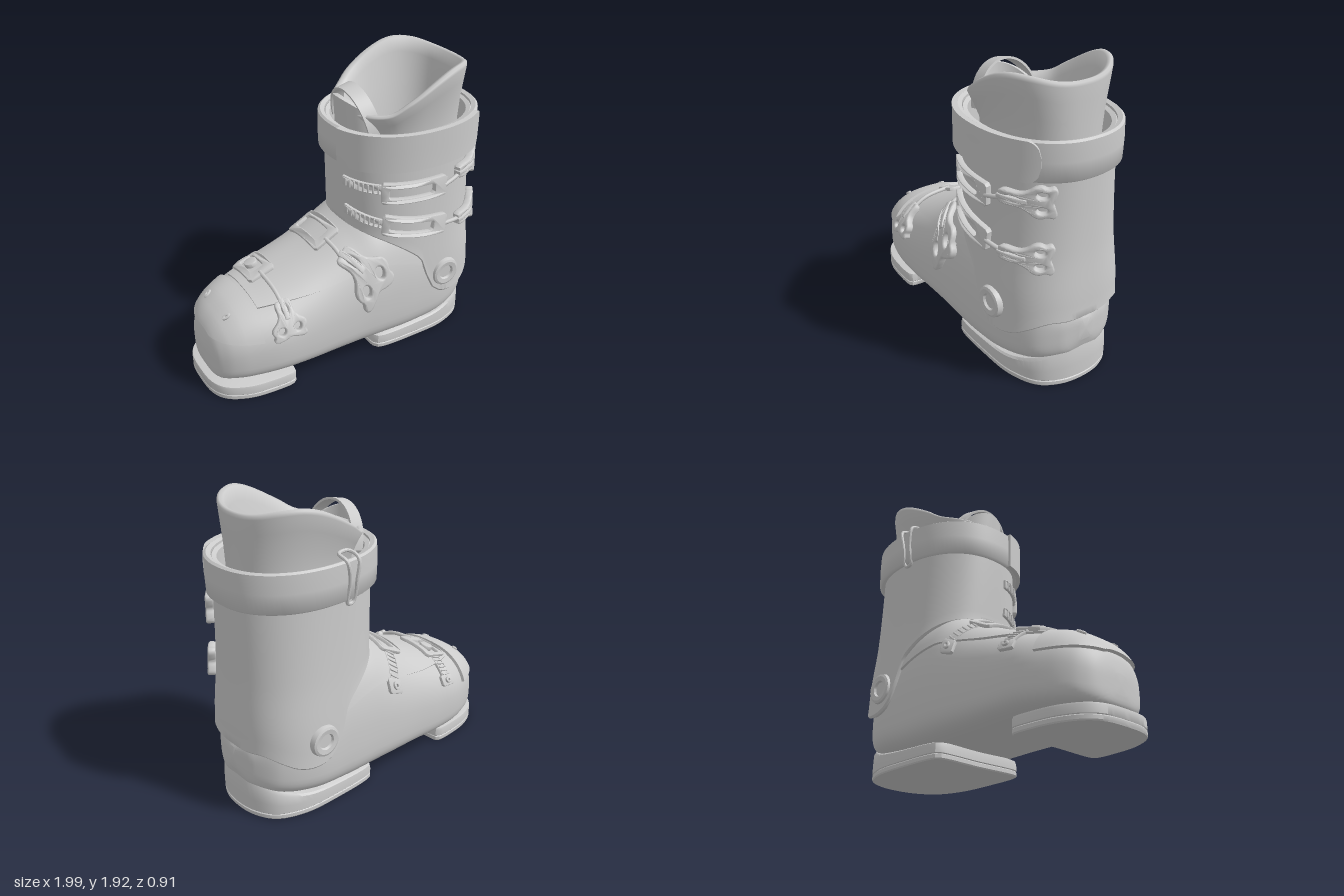
import * as THREE from 'three';
import { toCreasedNormals } from 'three/addons/utils/BufferGeometryUtils.js';

const V = (x, y, z) => new THREE.Vector3(x, y, z);
const pw = (c, p) => Math.sign(c) * Math.abs(c) ** p;
const lerp = THREE.MathUtils.lerp;
const mat = new THREE.MeshStandardMaterial({ color: 0xcccccc });

// Smooth interpolation of rows [key, value, value...]
function tab(rows, x) {
  const n = rows.length - 1;
  x = Math.min(Math.max(x, rows[0][0]), rows[n][0]);
  let i = 0;
  while (i < n - 1 && x > rows[i + 1][0]) i++;
  const a = rows[i], b = rows[i + 1], h = b[0] - a[0], t = (x - a[0]) / h;
  const slope = (j, k) => {
    const p = rows[Math.max(j - 1, 0)], q = rows[Math.min(j + 1, n)];
    return (q[k] - p[k]) / (q[0] - p[0]);
  };
  return a.slice(1).map((v, m) => {
    const k = m + 1, t2 = t * t, t3 = t2 * t;
    return (2 * t3 - 3 * t2 + 1) * v + (t3 - 2 * t2 + t) * h * slope(i, k)
      + (3 * t2 - 2 * t3) * b[k] + (t3 - t2) * h * slope(i + 1, k);
  });
}

// Skin over closed rings of equal length
function loft(rings, capStart = false, capEnd = false) {
  const n = rings[0].length, pos = rings.flat().flatMap(p => [p.x, p.y, p.z]), idx = [];
  for (let i = 0; i < rings.length - 1; i++) for (let j = 0; j < n; j++) {
    const k = (j + 1) % n, a = i * n + j, b = i * n + k;
    idx.push(a, b, a + n, b, b + n, a + n);
  }
  const cap = (r, flip) => {
    const c = rings[r].reduce((s, p) => s.add(p), V(0, 0, 0)).divideScalar(n), ci = pos.length / 3;
    pos.push(c.x, c.y, c.z);
    for (let j = 0; j < n; j++) {
      const a = r * n + j, b = r * n + (j + 1) % n;
      idx.push(ci, flip ? b : a, flip ? a : b);
    }
  };
  if (capStart) cap(0, true);
  if (capEnd) cap(rings.length - 1, false);
  const g = new THREE.BufferGeometry();
  g.setAttribute('position', new THREE.Float32BufferAttribute(pos, 3));
  g.setIndex(idx);
  return g;
}
const around = (n, f) => Array.from({ length: n }, (_, i) => f(i / n * Math.PI * 2));

// Lower shell: sections along x as [x, bottom, widest height, top, half width, sideways shift]
const SHELL = [[-.97, .18, .24, .3, .05, 0], [-.965, .14, .24, .335, .11, 0], [-.95, .115, .245, .4, .175, 0], [-.92, .1, .25, .455, .225, -.005],
  [-.87, .1, .27, .505, .275, -.01], [-.78, .1, .28, .56, .325, -.015], [-.6, .1, .3, .615, .382, -.022], [-.4, .1, .3, .685, .398, -.02],
  [-.2, .1, .32, .77, .4, -.015], [0, .1, .34, .88, .405, -.012], [.15, .1, .35, .97, .41, -.006], [.4, .1, .35, 1, .41, 0],
  [.65, .12, .35, .88, .39, 0], [.85, .16, .36, .67, .3, 0], [.95, .22, .38, .5, .16, 0], [.978, .3, .39, .45, .05, 0]];
function shell(x, a) {
  const [yb, yc, yt, w, z] = tab(SHELL, x), s = Math.sin(a);
  const up = s >= 0, p = up ? .8 : .5;
  return V(x, yc + (up ? yt - yc : yc - yb) * pw(s, p), z + w * pw(Math.cos(a), p));
}
const shellSurf = (u, v) => shell(u, v * 2.4);

// Cuff: plan outline by height as [y, front, rear, half width, roundness]
const CUFF = [[.35, .06, .975, .43, 2.6], [.6, .05, .97, .42, 2.6], [.9, .03, .955, .402, 2.4], [1.35, .005, .952, .392, 2.25], [1.6, 0, .955, .395, 2.2]];
function cuff(t, y, d = 0) {
  const [x0, x1, w, n] = tab(CUFF, y);
  return V((x0 + x1) / 2 - ((x1 - x0) / 2 + d) * pw(Math.cos(t), 2 / n), y, (w + d) * pw(Math.sin(t), 2 / n));
}
const cuffSurf = (u, v) => cuff(u * 2, v);
const HEM = [[.03, .92], [.2, .84], [.36, .73], [.43, .65], [.47, .51], [.51, .43], [.58, .375], [.68, .36], [.78, .38], [.86, .425], [.93, .465], [.97, .455]];

// Bend geometry given as (u, v, height) onto a surface
function drape(geo, surf) {
  const p = geo.attributes.position, e = .004;
  for (let i = 0; i < p.count; i++) {
    const u = p.getX(i), v = p.getY(i), d = p.getZ(i);
    const du = surf(u + e, v).sub(surf(u - e, v)), dv = surf(u, v + e).sub(surf(u, v - e));
    const q = surf(u, v).addScaledVector(du.cross(dv).normalize(), d);
    p.setXYZ(i, q.x, q.y, q.z);
  }
  return geo;
}
// Curved panel between two v limits that depend on u
function panel(surf, u0, u1, lo, hi, d0, d1, nu = 40, nv = 28) {
  const g = new THREE.BoxGeometry(1, 1, 1, nu, nv, 1), p = g.attributes.position;
  for (let i = 0; i < p.count; i++) {
    const u = lerp(u0, u1, p.getX(i) + .5);
    p.setXYZ(i, u, lerp(lo(u), hi(u), p.getY(i) + .5), lerp(d0, d1, p.getZ(i) + .5));
  }
  return drape(g, surf);
}
// Flat cut-out with holes, placed at (u, v), turned and draped
function cutout(surf, outline, holes, u, v, ang, d0, d1, bevel = .006) {
  const s = new THREE.Shape(outline);
  s.holes = holes.map(h => new THREE.Path(h));
  const g = new THREE.ExtrudeGeometry(s, { depth: d1 - d0 - bevel, bevelThickness: bevel, bevelSize: bevel, bevelOffset: -bevel, bevelSegments: 2 });
  return drape(g.rotateZ(ang).translate(u, v, d0), surf);
}
function box(x0, x1, h, cut = 0) {
  const c = [[x0 + cut, -h], [x1 - cut, -h], [x1, -h + cut], [x1, h - cut], [x1 - cut, h], [x0 + cut, h], [x0, h - cut], [x0, -h + cut]];
  const out = [];
  c.forEach(([x, y], i) => {
    const [X, Y] = c[(i + 1) % 8], n = Math.ceil(Math.hypot(X - x, Y - y) / .04);
    for (let k = 0; k < n; k++) out.push(new THREE.Vector2(lerp(x, X, k / n), lerp(y, Y, k / n)));
  });
  return out;
}
const oval = (x, y, rx, ry) => around(14, t => new THREE.Vector2(x + rx * Math.cos(t), y + ry * Math.sin(t)));

// Closed ring from half an outline, mirrored in z
function mirrored(half) {
  const pts = [...half, ...half.slice(1, -1).reverse().map(([x, z]) => [x, -z])].map(([x, z]) => V(x, 0, z));
  return new THREE.CatmullRomCurve3(pts, true, 'centripetal').getSpacedPoints(72).slice(0, 72);
}

export function createModel() {
  const boot = new THREE.Group();
  const add = (name, geo, crease = .75, parent = boot) => {
    const m = new THREE.Mesh(toCreasedNormals(geo, crease), mat);
    m.name = name;
    parent.add(m);
    return m;
  };

  // Lower shell, overlapping instep flap and toe cap
  const rings = [];
  for (let i = 0; i <= 80; i++) {
    const x = .004 + .974 * Math.cos(i / 80 * Math.PI);
    rings.push(around(56, a => shell(x, a)));
  }
  add('lowerShell', loft(rings, true, true), 1.2);
  const flapLow = u => tab([[-.66, .44], [-.35, .33], [-.1, .27], [.45, .14]], u)[0];
  add('instepFlap', panel(shellSurf, -.66, .45, flapLow, u => 1.309 - flapLow(u), -.01, .014));
  const capLow = u => {
    const [, yc, yt] = tab(SHELL, u);
    return Math.asin(Math.min(1, Math.max(0, (.41 - yc) / (yt - yc))) ** 1.25) / 2.4;
  };
  add('toeCap', panel(shellSurf, -.94, -.685, capLow, u => 1.309 - capLow(u), -.01, .02));

  // Soles with a separate tread layer
  const soles = {
    toe: [[-1, 0], [-.985, .16], [-.93, .25], [-.8, .32], [-.65, .345], [-.5, .345], [-.48, .33], [-.48, 0]],
    heel: [[.135, 0], [.135, .31], [.16, .335], [.45, .355], [.7, .34], [.87, .265], [.945, .14], [.965, 0]],
  };
  for (const [name, half] of Object.entries(soles)) {
    const plan = mirrored(half), mx = (half[0][0] + half[7][0]) / 2;
    const level = (s, y) => plan.map(p => V(mx + (p.x - mx) * s, typeof y === 'number' ? y : y(p), p.z * s));
    const top = k => p => name === 'toe' ? .1 - .02 * (1 - k)
      : lerp(.06, lerp(.1, tab([[.14, .11], [.5, .15], [.8, .24], [.965, .28]], p.x)[0], 1 - .7 * (p.z / .36) ** 2), k);
    add(name + 'Tread', loft([level(.985, 0), level(1, .008), level(1, .03), level(.985, .036)], true, true), .5);
    add(name + 'Sole', loft([level(.985, .034), level(1, .04), level(1, top(.3)), level(.99, top(.85)), level(.96, top(1))], true, true), .6);
  }

  // Upper cuff with a shaped hem and a thick rim
  const hem = t => tab(HEM, cuff(t, .6).x)[0];
  const wall = [around(112, t => cuff(t, hem(t) + .01, -.04)), around(112, t => cuff(t, hem(t), -.008))];
  for (let i = 0; i <= 24; i++) wall.push(around(112, t => cuff(t, lerp(hem(t) + .012, 1.57, i / 24), i ? 0 : .002)));
  for (const [y, d] of [[1.58, -.01], [1.57, -.035], [1.4, -.04], [1.36, -.14]]) wall.push(around(112, t => cuff(t, y, d)));
  add('cuff', loft(wall));

  // Top strap, its overlapping end and the wire loop on the far side
  add('topStrap', loft([[1.37, 0], [1.358, .022], [1.37, .036], [1.48, .04], [1.59, .036], [1.6, .022], [1.59, -.004], [1.37, -.004]]
    .map(([y, d]) => around(96, t => cuff(t, y, d)))), .9);
  const endHalf = u => .03 + Math.sqrt(Math.max(0, .09 ** 2 - Math.max(0, u - 1.13) ** 2));
  add('strapEnd', panel(cuffSurf, .1, 1.22, u => 1.48 - endHalf(u), u => 1.48 + endHalf(u), .02, .054, 80, 6));
  const wire = [[-.02, 1.34, .025], [.02, 1.34, .025], [.025, 1.48, .05], [.04, 1.6, .046], [.04, 1.63, -.02], [-.04, 1.63, -.02], [-.04, 1.6, .046], [-.025, 1.48, .05]]
    .map(([u, y, d]) => cuff((2.42 + u) * 2, y, d));
  add('strapLoop', new THREE.TubeGeometry(new THREE.CatmullRomCurve3(wire, true), 72, .011, 8, true));

  // Padded liner with its hollow
  const RIM = [[.06, 1.67], [.2, 1.695], [.3, 1.76], [.5, 1.87], [.64, 1.915], [.77, 1.91], [.88, 1.875]];
  const plan = (x0, x1, w, yf) => around(80, t => {
    const c = pw(Math.cos(t), .87), rim = tab(RIM, .47 - .41 * c)[0];
    return V((x0 + x1) / 2 - (x1 - x0) / 2 * c, yf(rim), w * pw(Math.sin(t), .87));
  });
  const up = k => r => lerp(1.3, r, k);
  add('liner', loft([plan(.14, .87, .285, up(0)), plan(.14, .872, .292, up(.35)), plan(.125, .874, .312, up(.6)), plan(.1, .876, .345, up(.8)),
    plan(.07, .878, .37, up(.95)), plan(.07, .877, .37, r => r - .01), plan(.085, .865, .355, r => r), plan(.11, .845, .33, r => r - .008),
    plan(.13, .83, .305, up(.85)), plan(.17, .81, .255, up(.55)), plan(.19, .79, .215, up(.2)), plan(.19, .78, .18, () => 1.15),
    plan(.19, .78, .17, () => .8)], false, true), 1.2);

  // Tongue and pull loop at the front
  const tongueSurf = (u, v) => V(.32 - (.28 + .08 * (v - 1.6)) * Math.cos(u), v, .23 * Math.sin(u));
  add('tongue', panel(tongueSurf, -1.3, 1.3, () => 1.25, u => 1.745 - .1 * u * u, -.03, 0, 40, 8));
  const loopSurf = (u, v) => V(.17 - .06 * Math.sin(u) + v, 1.54 + .25 * Math.sin(u) + v * .25, -.21 * Math.cos(u));
  add('pullLoop', panel(loopSurf, 0, Math.PI, () => -.045, () => .045, -.007, .007, 32, 2));

  // Ankle pivots
  const pivot = [[0, .012], [.045, .012], [.052, .026], [.08, .03], [.094, .024], [.1, 0], [.1, -.03]].map(([r, y]) => new THREE.Vector2(r, y)).reverse();
  for (const s of [1, -1]) {
    const m = add('anklePivot', new THREE.LatheGeometry(pivot, 40), .5);
    m.rotation.x = s * Math.PI / 2;
    m.position.set(.61, .525, s * .415);
  }

  // Buckle parts
  const leverHalf = [[0, .17], [.08, .23], [.35, .23], [.5, .32], [.62, .46], [.74, .5], [.84, .44], [.94, .48], [1, .36], [.97, .15], [.93, 0]];
  const leverCurve = new THREE.SplineCurve([...leverHalf, ...leverHalf.slice(0, -1).reverse().map(([x, y]) => [x, -y])].map(([x, y]) => new THREE.Vector2(x, y)));
  function lever(parent, surf, u, v, ang, L, W) {
    const fit = pts => pts.map(p => new THREE.Vector2(p.x * L, p.y * W));
    add('lever', cutout(surf, fit(leverCurve.getSpacedPoints(64)).reverse(),
      [oval(.25, 0, .17, .09), oval(.75, .23, .1, .1), oval(.75, -.23, .1, .1)].map(fit), u, v, ang, .008, .048, .01), .9, parent);
    add('leverCore', cutout(surf, fit(box(-.02, .5, .07, .02)), [], u, v, ang, .01, .056), .6, parent);
  }
  function strap(parent, surf, from, to, width, ribs) {
    const dx = to[0] - from[0], dy = to[1] - from[1], L = Math.hypot(dx, dy), ang = Math.atan2(dy, dx);
    add('strap', cutout(surf, box(0, L, width, .005), [], ...from, ang, .002, .018, .004), .6, parent);
    for (let i = 1; i < ribs; i++) {
      const k = i / ribs;
      add('strapRib', cutout(surf, box(-.006, .006, width * .85, .002), [], from[0] + dx * k, from[1] + dy * k, ang, .014, .024, .003), .6, parent);
    }
  }
  const frame = (parent, surf, u, v, ang, L, h) =>
    add('frame', cutout(surf, box(-L / 2, L / 2, h, .015), [box(-L * .37, L * .33, h * .5, .012)], u, v, ang, .002, .036), .6, parent);
  const rod = (parent, surf, from, to) => {
    const curve = new THREE.CatmullRomCurve3([0, .5, 1].map(k => {
      const g = new THREE.BufferGeometry().setFromPoints([V(lerp(from[0], to[0], k), lerp(from[1], to[1], k), .03)]);
      return new THREE.Vector3().fromBufferAttribute(drape(g, surf).attributes.position, 0);
    }));
    add('rod', new THREE.TubeGeometry(curve, 12, .014, 8), .9, parent);
  };
  const screw = (parent, surf, u, v, d) => add('screw', cutout(surf, oval(0, 0, .024, .024), [oval(0, 0, .009, .009)], u, v, 0, d, d + .014, .003), .6, parent);
  const buckle = name => { const g = new THREE.Group(); g.name = name; boot.add(g); return g; };

  // Two cuff buckles
  for (const [y0, y1, y2, ang] of [[1.24, 1.2, 1.245, -.02], [1.04, .95, .9, -.16]]) {
    const b = buckle('cuffBuckle');
    strap(b, cuffSurf, [.1, y0], [.48, y1 + .025], .032, 10);
    frame(b, cuffSurf, .64, y1, ang, .43, .07);
    rod(b, cuffSurf, [.84, y1 + .2 * Math.tan(ang)], [1.02, y2]);
    lever(b, cuffSurf, .95, y2, 0, .38, .19);
  }

  // Two instep buckles
  for (const [u0, u1, u2, vf, hf, vl, ang, L, W] of [[-.5, -.52, -.52, .755, .24, .395, -1.6, .29, .22], [0, -.1, -.08, .71, .3, .43, -1.08, .39, .25]]) {
    const b = buckle('instepBuckle');
    strap(b, shellSurf, [u1 + .01, vf + hf * .4], [u0, 1.08], .036, 7);
    add('anchor', cutout(shellSurf, box(-.055, .055, .045, .012), [], u0, 1.1, 0, .002, .022), .6, b);
    screw(b, shellSurf, u0, 1.1, .02);
    frame(b, shellSurf, u1, vf, -Math.PI / 2, hf, .09);
    rod(b, shellSurf, [u1, vf - hf / 2 + .02], [u2, vl - .06]);
    lever(b, shellSurf, u2, vl, ang, L, W);
  }
  add('frameKnob', cutout(shellSurf, oval(0, 0, .042, .042), [], -.52, .76, 0, .01, .045), .6);
  for (const v of [.5, .81]) screw(boot, shellSurf, -.83, v, .018);
  return boot;
}
